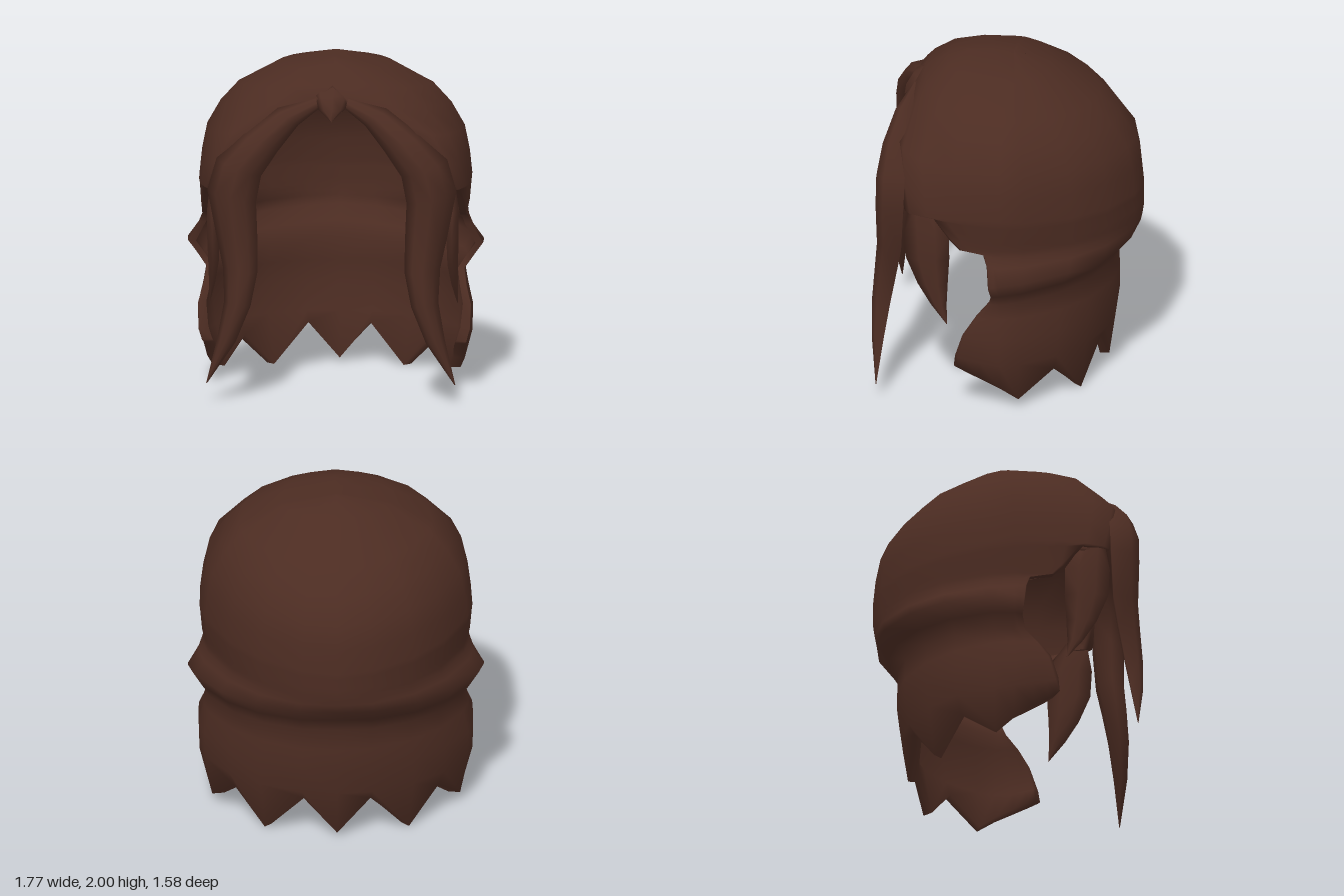
import * as THREE from 'three';
import { mergeVertices } from 'three/addons/utils/BufferGeometryUtils.js';

const lerp = THREE.MathUtils.lerp;

// Smooth, welded geometry from [x, y, z] points and quads of point indices
function quadGeometry(points, quads) {
  const geo = new THREE.BufferGeometry();
  geo.setAttribute('position', new THREE.Float32BufferAttribute(points.flat(), 3));
  geo.setIndex(quads.flatMap(([a, b, c, d]) => [a, b, c, a, c, d]));
  const welded = mergeVertices(geo, 1e-4);
  welded.computeVertexNormals();
  return welded;
}

// Shell rows, crown to nape: y at back, side, front edge; half width; back z; front edge x, z
const ROWS = [
  [2.0, 2.0, 2.0, 0, -0.02, 0, 0.26],
  [1.95, 1.94, 1.96, 0.33, -0.23, 0, 0.4],
  [1.75, 1.81, 1.89, 0.58, -0.52, 0, 0.53],
  [1.62, 1.69, 1.8, 0.69, -0.64, 0.1, 0.59],
  [1.48, 1.55, 1.62, 0.77, -0.74, 0.46, 0.645],
  [1.33, 1.4, 1.42, 0.8, -0.77, 0.63, 0.615],
  [1.18, 1.26, 1.26, 0.815, -0.785, 0.71, 0.58],
  [1.15, 1.21, 1.26, 0.81, -0.785, 0.755, 0.42],
  [1.08, 1.1, 1.11, 0.8, -0.785, 0.785, 0.3],
  [1.04, 1.05, 1.05, 0.79, -0.785, 0.79, 0.24],
  [1.0, 1.01, 1.03, 0.795, -0.78, 0.79, 0.1],
  [0.97, 0.95, 0.96, 0.82, -0.775, 0.815, 0.075],
  [0.92, 0.86, 0.84, 0.885, -0.765, 0.88, 0.06],
  [0.83, 0.77, 0.76, 0.83, -0.69, 0.82, 0.05],
  [0.74, 0.69, 0.69, 0.775, -0.635, 0.77, 0.07],
  [0.6, 0.6, 0.6, 0.79, -0.64, 0.785, 0.15],
  [0.48, 0.46, 0.5, 0.82, -0.64, 0.815, 0.22],
  [0.3, 0.3, 0.36, 0.815, -0.615, 0.81, 0.265],
  [0, 0, 0, 0.77, -0.575, 0.79, 0.275],
];
const BACK_ANGLES = [0, 15, 34, 52, 74, 90];
const FRONT_STEPS = [0.25, 0.5, 0.75, 1];
// Jagged hem heights, from the back centre round to the front edge
const HEM = [0.02, 0.24, 0, 0.2, 0.05, 0.13, 0.19, 0.235, 0.265, 0.28];

// Half of one row, from the back centre to the front edge on the +x side
function halfRow([yb, ys, yf, w, zb, xe, ze], isHem) {
  const back = BACK_ANGLES.map((deg) => {
    const a = THREE.MathUtils.degToRad(deg);
    return [w * Math.sin(a), lerp(yb, ys, deg / 90), zb * Math.max(0, Math.cos(a)) ** 1.3];
  });
  const front = FRONT_STEPS.map((t) => {
    const p = 2 * t * (1 - t);
    return [w * (1 - t) ** 2 + w * p + xe * t * t, lerp(ys, yf, t), ze * (p + t * t)];
  });
  const row = [...back, ...front];
  if (isHem) row.forEach((p, i) => { p[1] = HEM[i]; });
  return row;
}

// Hollow hair shell with an outer wall, inner wall (thicker near the hem) and rim
function shellGeometry() {
  const outer = [];
  let cols = 0;
  ROWS.forEach((r, i) => {
    const half = halfRow(r, i === ROWS.length - 1);
    const row = [...half.slice().reverse(), ...half.slice(1).map(([x, y, z]) => [-x, y, z])];
    cols = row.length;
    outer.push(...row);
  });
  const n = outer.length;
  const inner = outer.map(([x, y, z]) => {
    const k = y > 0.6 ? 0.95 : lerp(0.9, 0.95, y / 0.6);
    return [x * k, y > 1 ? 1 + (y - 1) * 0.95 : y, z * k];
  });
  const quads = [];
  const rim = (a, b) => quads.push([b, a, a + n, b + n]);
  const last = ROWS.length - 1;
  for (let r = 0; r < last; r++) {
    for (let c = 0; c < cols - 1; c++) {
      const a = r * cols + c, b = a + cols;
      quads.push([a, b, b + 1, a + 1], [a + n, a + 1 + n, b + 1 + n, b + n]);
      if (r === last - 1) rim(b, b + 1);
    }
    if (r >= 2) {
      rim(r * cols, (r + 1) * cols);
      rim((r + 2) * cols - 1, (r + 1) * cols - 1);
    }
  }
  return quadGeometry([...outer, ...inner], quads);
}

// Loft closed rings of equal size into a lock of hair
function loft(rings) {
  const k = rings[0].length;
  const quads = [];
  for (let r = 0; r < rings.length - 1; r++) {
    for (let i = 0; i < k; i++) {
      const j = (i + 1) % k;
      quads.push([r * k + i, (r + 1) * k + i, (r + 1) * k + j, r * k + j]);
    }
  }
  for (let i = 1; i < k - 2; i += 2) quads.push([0, i, i + 1, i + 2]);
  return quadGeometry(rings.flat(), quads);
}

// Front-facing lock section: inner edge x, y; outer edge x, y; front z; back z
function frontRing([ix, iy, ox, oy, zf, zb], side) {
  const at = (t, d) => [side * lerp(ix, ox, t), lerp(iy, oy, t), lerp(zb, zf, d)];
  return [at(0, 0.55), at(0.22, 0.92), at(0.52, 1), at(0.82, 0.75), at(1, 0.1), at(0.55, 0.15)];
}

const FRINGE = [
  [0.08, 1.75, 0.1, 1.83, 0.6, 0.53],
  [0.2, 1.66, 0.33, 1.76, 0.68, 0.54],
  [0.32, 1.51, 0.54, 1.61, 0.74, 0.57],
  [0.42, 1.36, 0.69, 1.45, 0.765, 0.56],
  [0.45, 1.2, 0.745, 1.26, 0.765, 0.565],
  [0.44, 0.95, 0.69, 0.98, 0.76, 0.585],
  [0.44, 0.78, 0.65, 0.8, 0.775, 0.62],
  [0.48, 0.58, 0.64, 0.6, 0.79, 0.66],
  [0.57, 0.36, 0.68, 0.38, 0.785, 0.7],
  [0.74, 0.11, 0.745, 0.11, 0.75, 0.745],
];

const TUFT = [
  [-0.1, 1.92, 0.1, 1.92, 0.44, 0.36],
  [-0.125, 1.83, 0.125, 1.83, 0.6, 0.46],
  [-0.08, 1.75, 0.08, 1.75, 0.645, 0.54],
  [0, 1.685, 0, 1.685, 0.655, 0.645],
];

// Side lock sections: y, front z, back z, centre x, half thickness
const SIDE_LOCK = [
  [1.29, 0.55, 0.42, 0.715, 0.015],
  [1.12, 0.58, 0.31, 0.72, 0.03],
  [0.95, 0.57, 0.31, 0.715, 0.035],
  [0.78, 0.5, 0.32, 0.715, 0.03],
  [0.65, 0.42, 0.325, 0.725, 0.018],
  [0.53, 0.325, 0.32, 0.74, 0.002],
];

function sideRing([y, zf, zb, x, h], side) {
  const at = (t, d) => [side * (x + d * h), y, lerp(zb, zf, t)];
  return [at(0, 0), at(0.3, 1), at(0.7, 1), at(1, 0), at(0.7, -1), at(0.3, -1)];
}

export function createModel() {
  const model = new THREE.Group();
  model.name = 'hair';
  const brown = new THREE.MeshStandardMaterial({ color: 0x4c2c22, side: THREE.DoubleSide });
  brown.name = 'dark brown';
  const add = (name, geometry) => {
    const mesh = new THREE.Mesh(geometry, brown);
    mesh.name = name;
    model.add(mesh);
  };

  add('hairShell', shellGeometry());
  add('centreTuft', loft(TUFT.map((s) => frontRing(s, 1))));
  for (const [label, side] of [['left', 1], ['right', -1]]) {
    add(label + 'Fringe', loft(FRINGE.map((s) => frontRing(s, side))));
    add(label + 'SideLock', loft(SIDE_LOCK.map((s) => sideRing(s, side))));
  }
  return model;
}
